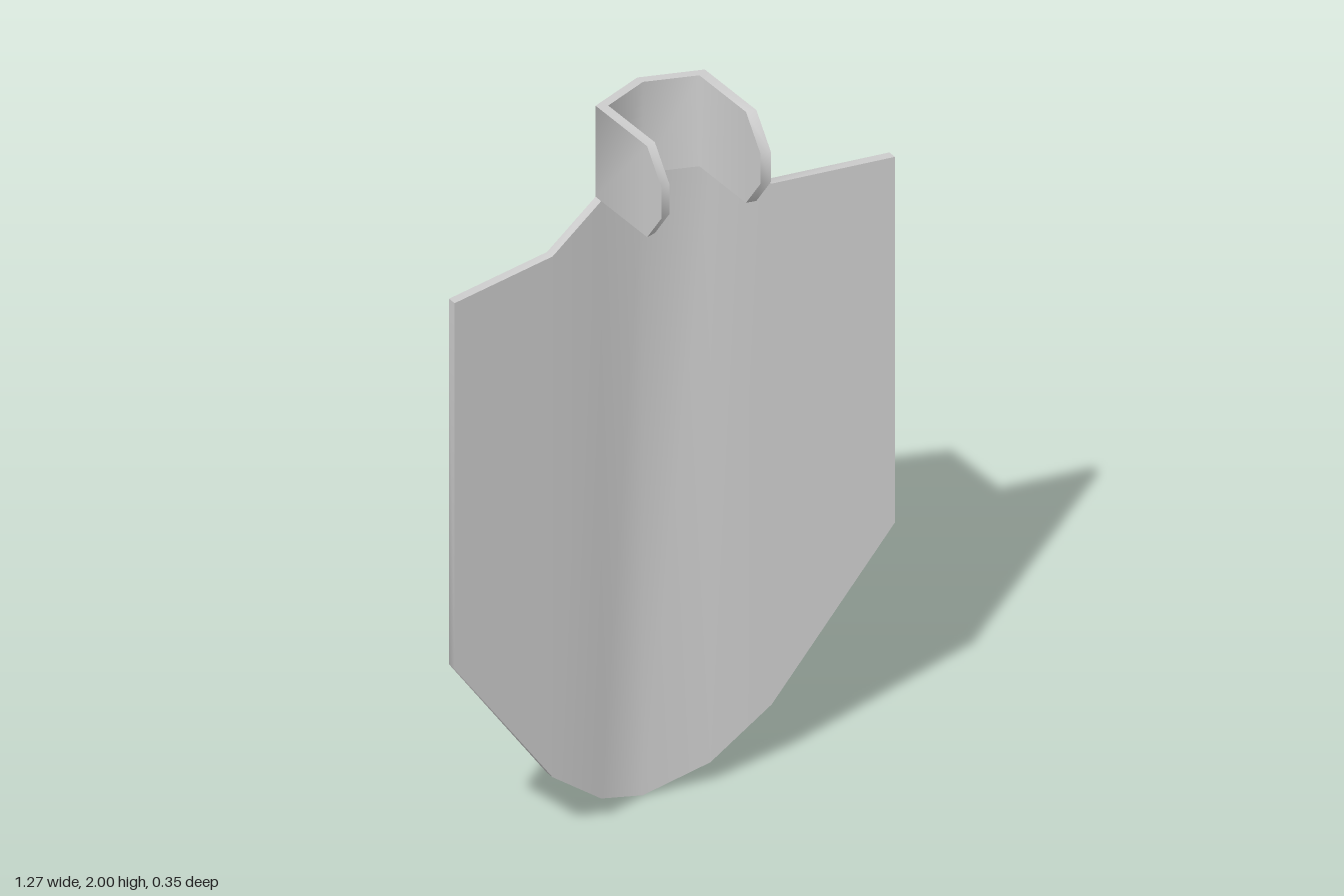
import * as THREE from 'three';
import { toCreasedNormals } from 'three/addons/utils/BufferGeometryUtils.js';

// Solid bent plate from half its stations, listed from the +x end to the centre line.
// Each station: outer x, outer z, inner x, inner z, bottom y, top y.
function bentPlate(name, half, crease, material) {
  const mirrored = half.slice(0, -1).reverse()
    .map(([ox, oz, ix, iz, b, t]) => [-ox, oz, -ix, iz, b, t]);
  const rings = [...half, ...mirrored].map(([ox, oz, ix, iz, b, t]) =>
    [[ox, b, oz], [ox, t, oz], [ix, t, iz], [ix, b, iz]]);
  const pos = [];
  const quad = (a, b, c, d) => pos.push(...a, ...b, ...c, ...a, ...c, ...d);

  for (let i = 0; i < rings.length - 1; i++) {
    const p = rings[i], q = rings[i + 1];
    for (let k = 0; k < 4; k++) {
      const n = (k + 1) % 4;
      quad(p[k], q[k], q[n], p[n]);
    }
  }
  // End caps
  quad(...rings[0]);
  quad(...[...rings[rings.length - 1]].reverse());

  const geometry = new THREE.BufferGeometry();
  geometry.setAttribute('position', new THREE.Float32BufferAttribute(pos, 3));
  const mesh = new THREE.Mesh(toCreasedNormals(geometry, crease), material);
  mesh.name = name;
  return mesh;
}

export function createModel() {
  const model = new THREE.Group();
  model.name = 'shovelHead';
  const metal = new THREE.MeshStandardMaterial({ color: 0xcccccc });

  // Pointed blade, folded along the middle and beside the socket
  const blade = [
    [0.633, -0.034, 0.2, 1.655],
    [0.315, -0.09, 0.195, 1.655],
    [0.157, -0.118, 0.07, 1.745],
    [0, -0.175, 0, 1.745],
  ];
  blade[0][2] = 0.63;
  model.add(bentPlate('blade',
    blade.map(([x, z, b, t]) => [x, z, x, z + 0.025, b, t]), 0.8, metal));

  // Open handle socket: V-shaped back with two chamfered side flaps
  model.add(bentPlate('handleSocket', [
    [0.157, 0.174, 0.131, 0.168, 1.83, 1.915],
    [0.157, 0.11, 0.131, 0.104, 1.745, 2],
    [0.157, -0.118, 0.131, -0.102, 1.745, 2],
    [0, -0.175, 0, -0.15, 1.745, 2],
  ], 1.3, metal));

  return model;
}
